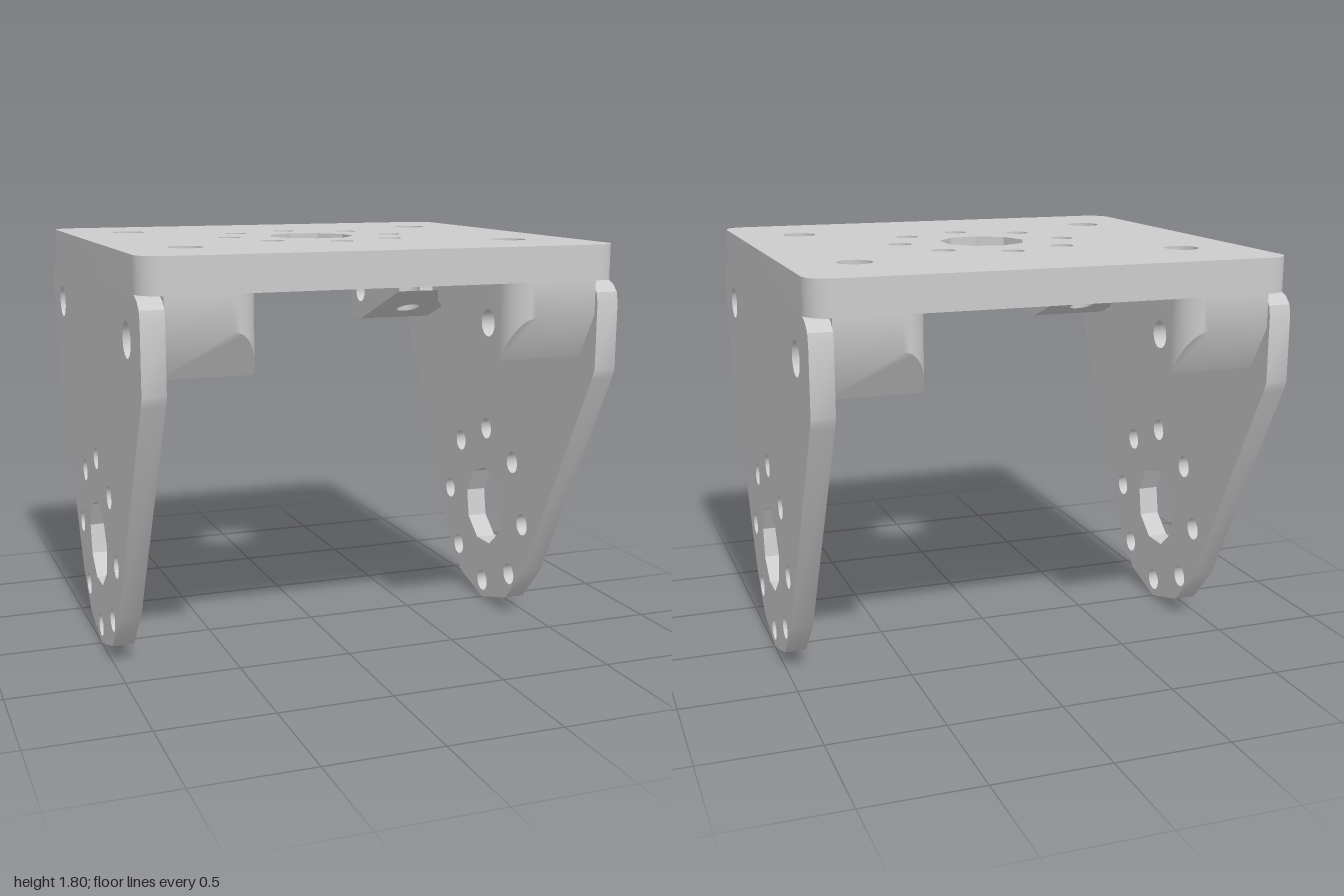
import * as THREE from 'three';
import { mergeGeometries, toCreasedNormals } from 'three/addons/utils/BufferGeometryUtils.js';

const PLATE_Y = 1.655, TOP_Y = 1.8;   // underside and upper side of the top plate
const WALL_IN = 0.905, BLOCK_IN = 0.53; // inner faces of side plate and bracket
const END = 0.93, TOE = 0.82, HEEL = 0.7, CUT = 0.62, ARCH = 0.22; // bracket stations along z

const ring = (cx, cy, r, n, start = 0) => new THREE.Path(Array.from({ length: n }, (_, i) => {
  const a = start + (i / n) * Math.PI * 2;
  return new THREE.Vector2(cx + r * Math.cos(a), cy + r * Math.sin(a));
}));
const outline = (pts) => new THREE.Shape(pts.map(([x, y]) => new THREE.Vector2(x, y)));
const extrude = (shape, depth) => new THREE.ExtrudeGeometry(shape, { depth, bevelEnabled: false, curveSegments: 8 });

// nine-sided centre bore with a circle of eight small holes around it
function addHub(shape, cx, cy, start) {
  shape.holes.push(ring(cx, cy, 0.19, 9, start));
  for (let i = 0; i < 8; i++) {
    const a = (i * Math.PI) / 4;
    shape.holes.push(ring(cx + 0.38 * Math.cos(a), cy + 0.385 * Math.sin(a), 0.05, 20));
  }
}

function topPlateGeometry() {
  const x = 1, z = 0.95, r = 0.1, s = new THREE.Shape();
  s.absarc(x - r, z - r, r, 0, Math.PI / 2);
  s.absarc(-x + r, z - r, r, Math.PI / 2, Math.PI);
  s.absarc(-x + r, -z + r, r, Math.PI, Math.PI * 1.5);
  s.absarc(x - r, -z + r, r, Math.PI * 1.5, Math.PI * 2);
  addHub(s, 0, 0, Math.PI);
  for (const i of [-1, 1]) for (const j of [-1, 1]) s.holes.push(ring(i * 0.715, j * 0.525, 0.073, 20));
  return extrude(s, TOP_Y - PLATE_Y).rotateX(-Math.PI / 2).translate(0, PLATE_Y, 0);
}

function sidePlateGeometry() {
  const half = [[0.24, 0.07], [0.405, 0.25], [0.93, 1.24], [0.95, 1.285], [0.95, 1.56],
    [0.94, 1.605], [0.91, 1.635], [0.86, PLATE_Y]];
  const s = outline([[0, 0], ...half, ...half.map(([z, y]) => [-z, y]).reverse()]);
  addHub(s, 0, 0.47, Math.PI / 2);
  for (const i of [-1, 1]) s.holes.push(ring(i * 0.715, 1.47, 0.073, 20));
  return extrude(s, 1 - WALL_IN).rotateY(Math.PI / 2).translate(WALL_IN, 0, 0);
}

// underside height of the bracket along z
function underside(z) {
  const pts = [[0, 1.51], [ARCH, 1.51], [HEEL, 1.325], [TOE, 1.325], [END, 1.51]];
  const i = Math.max(1, pts.findIndex((p) => z <= p[0] + 1e-5));
  const [a, b] = [pts[i - 1], pts[i]];
  return a[1] + ((b[1] - a[1]) * (z - a[0])) / (b[0] - a[0]);
}

// plan shape dropped from the top plate to the underside profile
function dropped(shape) {
  const g = extrude(shape, 1).rotateX(-Math.PI / 2), p = g.attributes.position;
  for (let i = 0; i < p.count; i++) p.setY(i, p.getY(i) > 0.5 ? PLATE_Y : underside(Math.abs(p.getZ(i))));
  return g;
}

// remove the hidden faces where bracket sections join
function openJoins(g) {
  const p = g.attributes.position, keep = [];
  for (let i = 0; i < p.count; i += 3) {
    const z = [0, 1, 2].map((k) => Math.abs(p.getZ(i + k)));
    const hidden = [ARCH, CUT, TOE].some((c) => z.every((v) => Math.abs(v - c) < 1e-4));
    if (!hidden) for (let k = 0; k < 3; k++) keep.push(p.getX(i + k), p.getY(i + k), p.getZ(i + k));
  }
  const out = new THREE.BufferGeometry();
  out.setAttribute('position', new THREE.Float32BufferAttribute(keep, 3));
  return out;
}

function bracketGeometry() {
  const rect = (z0, z1) => outline([[BLOCK_IN, z0], [WALL_IN, z0], [WALL_IN, z1], [BLOCK_IN, z1]]);
  const parts = [dropped(rect(-ARCH, ARCH))];
  for (const s of [-1, 1]) {
    // sloping web with the vertical screw hole
    const web = rect(s * ARCH, s * CUT);
    web.holes.push(ring(0.715, s * 0.525, 0.058, 20));
    parts.push(dropped(web));
    // foot with the sideways screw hole
    const foot = outline([[s * CUT, PLATE_Y], [s * CUT, underside(CUT)], [s * HEEL, 1.325],
      [s * TOE, 1.325], [s * TOE, PLATE_Y]]);
    foot.holes.push(ring(s * 0.715, 1.47, 0.058, 20));
    parts.push(extrude(foot, WALL_IN - BLOCK_IN).rotateY(Math.PI / 2).translate(BLOCK_IN, 0, 0));
    // undercut end with a rounded inner corner
    const r = END - TOE, pts = [[WALL_IN, s * TOE], [WALL_IN, s * END]];
    for (let i = 0; i <= 8; i++) {
      const a = (i / 8) * (Math.PI / 2);
      pts.push([BLOCK_IN + r - r * Math.sin(a), s * (TOE + r * Math.cos(a))]);
    }
    parts.push(dropped(outline(pts)));
  }
  return mergeGeometries(parts.map((g) => openJoins(g.index ? g.toNonIndexed() : g)));
}

export function createModel() {
  const model = new THREE.Group();
  model.name = 'mountingBracket';
  const material = new THREE.MeshStandardMaterial({ color: 0xcccccc });
  const mesh = (name, geometry) => {
    const m = new THREE.Mesh(toCreasedNormals(geometry, 0.55), material);
    m.name = name;
    return m;
  };
  model.add(mesh('topPlate', topPlateGeometry()));
  const wall = sidePlateGeometry(), block = bracketGeometry();
  for (const side of ['left', 'right']) {
    const g = new THREE.Group();
    g.name = side + 'Side';
    g.add(mesh(side + 'SidePlate', wall), mesh(side + 'CornerBracket', block));
    if (side === 'right') g.rotation.y = Math.PI;
    model.add(g);
  }
  return model;
}
